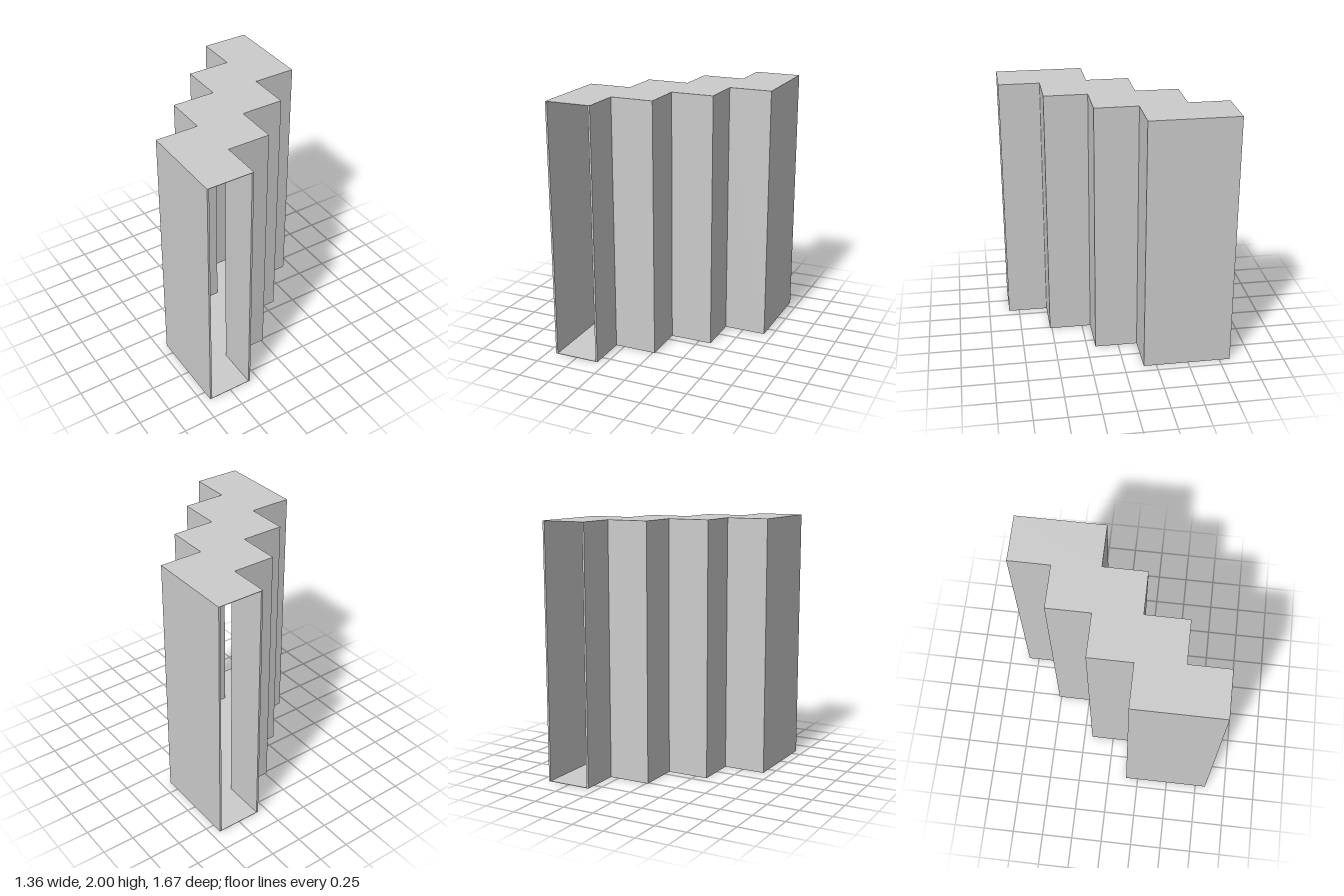
import * as THREE from 'three';

const HEIGHT = 2, WALL = 0.015, PLATE = 0.004;
const END = 0.834;            // open ends at z = +END and -END
const STEP = 0.3335;          // one stair step in plan
const X0 = -0.682, Z0 = 0.151;

// Extrude a plan outline of [x, z] points upwards from height y
function extrudePlan(points, y, height, name, material) {
  const shape = new THREE.Shape(points.map(([x, z]) => new THREE.Vector2(x, -z)));
  const geometry = new THREE.ExtrudeGeometry(shape, { depth: height, bevelEnabled: false });
  geometry.rotateX(-Math.PI / 2);
  const mesh = new THREE.Mesh(geometry, material);
  mesh.position.y = y;
  mesh.name = name;
  return mesh;
}

// Stepped line from the front end to the back end, shifted inwards by inset
function stairLine(inset) {
  const points = [[X0 + inset, END]];
  for (let i = 0; i < 3; i++) {
    const x = X0 + i * STEP + inset, z = Z0 - i * STEP + inset;
    points.push([x, z], [x + STEP, z]);
  }
  points.push([X0 + 3 * STEP + inset, -END]);
  return points;
}

export function createModel() {
  const group = new THREE.Group();
  group.name = 'steppedChannel';
  const material = new THREE.MeshStandardMaterial({ color: 0xcccccc, flatShading: true });

  // Two zigzag side walls, one the half-turn of the other
  const outer = stairLine(0);
  const section = [...outer, ...stairLine(WALL).reverse()];
  const halfTurn = (points) => points.map(([x, z]) => [-x, -z]);
  const wallHeight = HEIGHT - 2 * PLATE;
  group.add(extrudePlan(section, PLATE, wallHeight, 'rightZigzagWall', material));
  group.add(extrudePlan(halfTurn(section), PLATE, wallHeight, 'leftZigzagWall', material));

  // Thin floor and ceiling closing the channel; both ends stay open
  const outline = [...outer, ...halfTurn(outer)];
  group.add(extrudePlan(outline, 0, PLATE, 'floor', material));
  group.add(extrudePlan(outline, HEIGHT - PLATE, PLATE, 'ceiling', material));

  return group;
}
